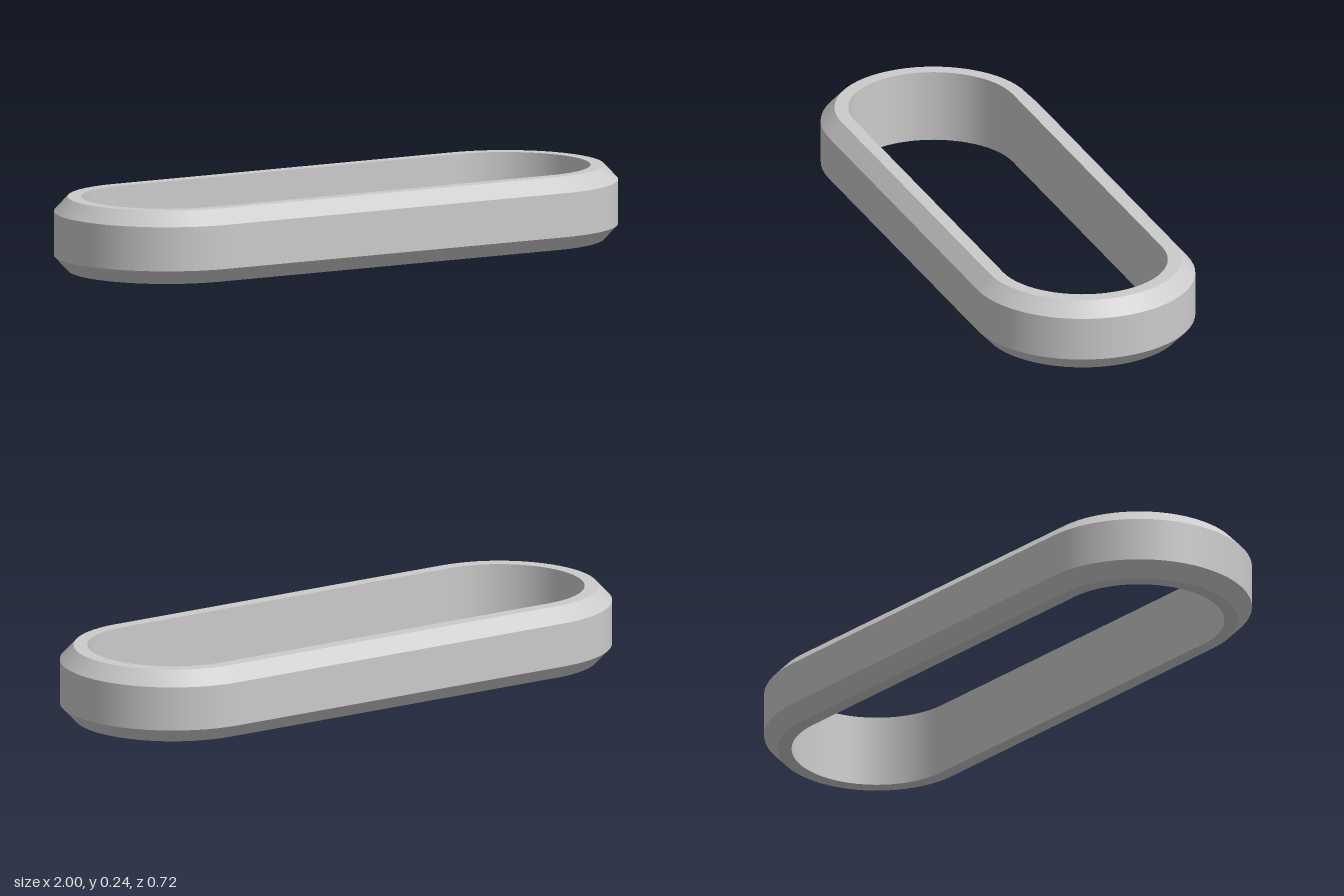
import * as THREE from 'three';

const HALF_STRAIGHT = 0.64; // end-arc centres sit at x = +/- this
const ARC_STEPS = 32;

// Ring cross-section as [radius, height], counter-clockwise: straight bore, chamfered outside
const PROFILE = [
  [0.272, 0], [0.316, 0], [0.36, 0.047],
  [0.36, 0.189], [0.316, 0.236], [0.272, 0.236],
];

// Stations round the stadium path: arc centre x and outward angle
function stadiumStations() {
  const stations = [];
  for (const side of [1, -1]) {
    const start = side > 0 ? -Math.PI / 2 : Math.PI / 2;
    for (let i = 0; i <= ARC_STEPS; i++) {
      stations.push({ cx: side * HALF_STRAIGHT, a: start + (Math.PI * i) / ARC_STEPS });
    }
  }
  stations.push(stations[0]);
  return stations;
}

// Sweep each profile edge as its own band: smooth along the path, sharp across it
function sweepRing(profile) {
  const positions = [], normals = [], indices = [];
  const stations = stadiumStations();
  profile.forEach(([r0, y0], k) => {
    const [r1, y1] = profile[(k + 1) % profile.length];
    const length = Math.hypot(r1 - r0, y1 - y0);
    const nr = (y1 - y0) / length, ny = (r0 - r1) / length;
    const base = positions.length / 3;
    stations.forEach(({ cx, a }, i) => {
      const c = Math.cos(a), s = Math.sin(a);
      for (const [r, y] of [[r0, y0], [r1, y1]]) {
        positions.push(cx + r * c, y, r * s);
        normals.push(nr * c, ny, nr * s);
      }
      if (i < stations.length - 1) {
        const p = base + i * 2;
        indices.push(p, p + 1, p + 2, p + 1, p + 3, p + 2);
      }
    });
  });
  const geometry = new THREE.BufferGeometry();
  geometry.setAttribute('position', new THREE.Float32BufferAttribute(positions, 3));
  geometry.setAttribute('normal', new THREE.Float32BufferAttribute(normals, 3));
  geometry.setIndex(indices);
  return geometry;
}

export function createModel() {
  const group = new THREE.Group();
  group.name = 'chainLink';
  const ring = new THREE.Mesh(
    sweepRing(PROFILE),
    new THREE.MeshStandardMaterial({ color: 0xcccccc }),
  );
  ring.name = 'ovalRing';
  group.add(ring);
  return group;
}
